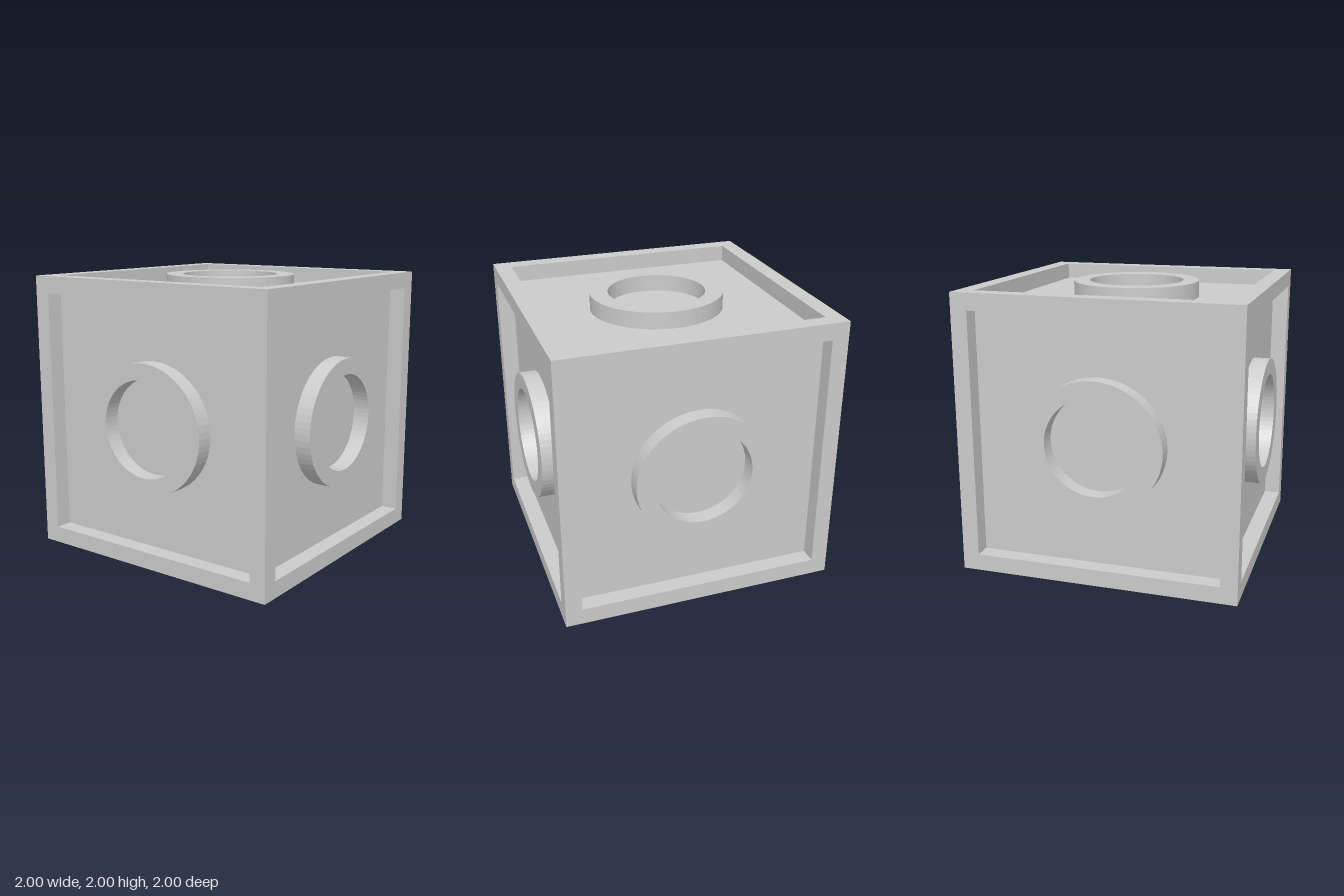
import * as THREE from 'three';

const HALF = 1;        // half the outer cube
const INNER = 0.88;    // half the recessed core
const BAR = HALF - INNER;

const material = new THREE.MeshStandardMaterial({ color: 0xcccccc, flatShading: true });

function addMesh(parent, name, geometry) {
  const mesh = new THREE.Mesh(geometry, material);
  mesh.name = name;
  parent.add(mesh);
  return mesh;
}

// Slightly oval ring, standing up from z = 0
function ringGeometry() {
  const shape = new THREE.Shape();
  shape.absellipse(0, 0, 0.48, 0.458, 0, Math.PI * 2, false);
  const hole = new THREE.Path();
  hole.absellipse(0, 0, 0.35, 0.343, 0, Math.PI * 2, true);
  shape.holes.push(hole);
  return new THREE.ExtrudeGeometry(shape, { depth: BAR, bevelEnabled: false, curveSegments: 32 });
}

export function createModel() {
  const model = new THREE.Group();
  model.name = 'framedCube';
  const cube = new THREE.Group();
  cube.name = 'cube';
  cube.position.y = HALF;
  model.add(cube);

  // Core whose six faces are the recessed panels
  addMesh(cube, 'core', new THREE.BoxGeometry(2 * INNER, 2 * INNER, 2 * INNER));

  // Twelve frame bars: full-height posts, with rails fitted between them
  const frame = new THREE.Group();
  frame.name = 'frame';
  cube.add(frame);
  const post = new THREE.BoxGeometry(BAR, 2 * HALF, BAR);
  const railX = new THREE.BoxGeometry(2 * INNER, BAR, BAR);
  const railZ = new THREE.BoxGeometry(BAR, BAR, 2 * INNER);
  const mid = (HALF + INNER) / 2;
  for (const a of [-mid, mid]) {
    for (const b of [-mid, mid]) {
      addMesh(frame, 'post', post).position.set(a, 0, b);
      addMesh(frame, 'railAcross', railX).position.set(0, a, b);
      addMesh(frame, 'railDeep', railZ).position.set(a, b, 0);
    }
  }

  // One ring on each panel, flush with the frame
  const ring = ringGeometry();
  const q = Math.PI / 2;
  const faces = {
    front: [0, 0], left: [0, q], back: [0, 2 * q], right: [0, -q], top: [-q, 0], bottom: [q, 0],
  };
  for (const [side, [rx, ry]] of Object.entries(faces)) {
    const mesh = addMesh(cube, side + 'Ring', ring);
    mesh.rotation.set(rx, ry, 0);
    mesh.translateZ(INNER);
  }
  return model;
}
